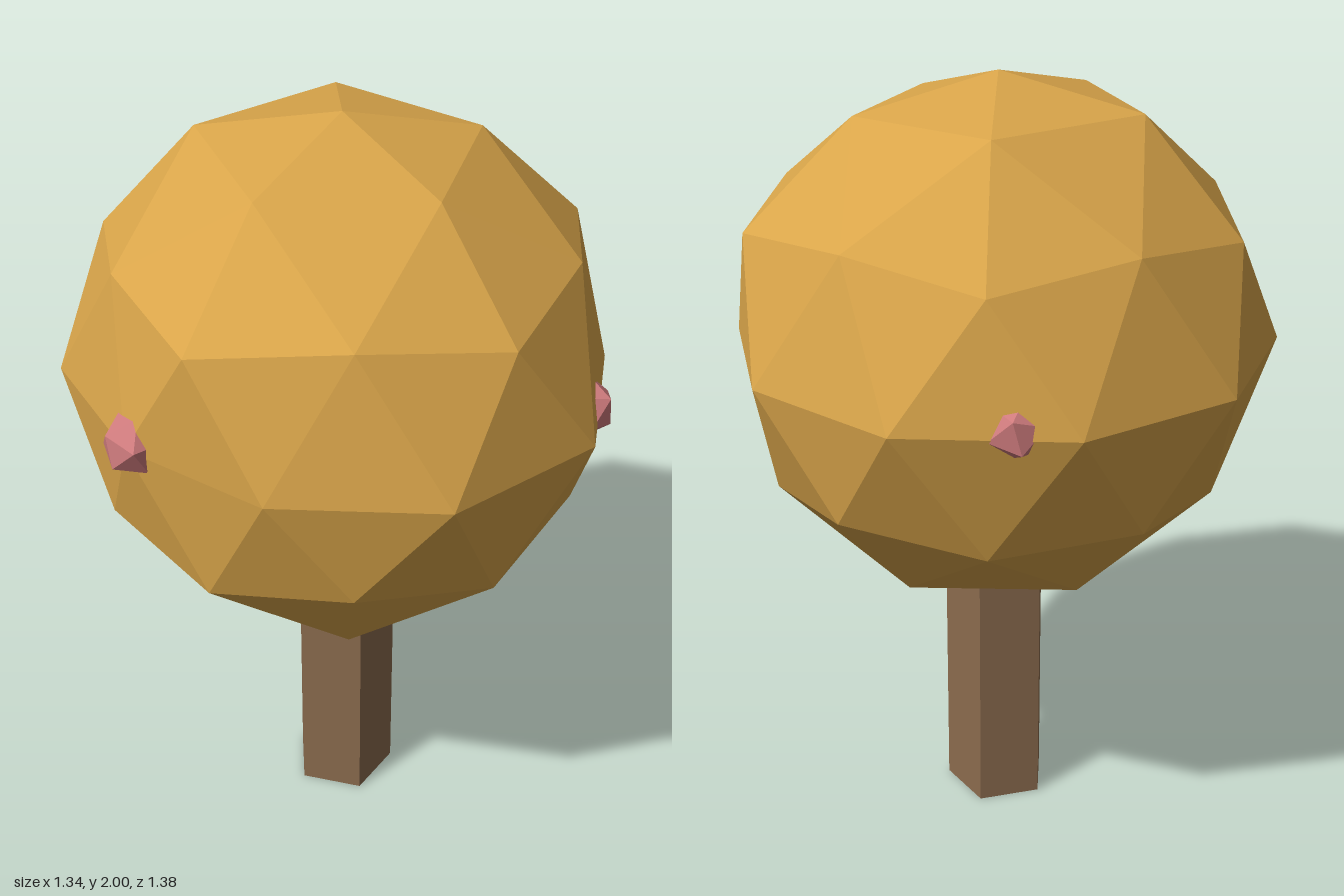
import * as THREE from 'three';

const CENTRE_Y = 1.333;

// Vertex radii of the crown per latitude ring (key = unit height * 10),
// listed by azimuth away from +x; the crown is nearly mirrored front to back.
const RADII = {
  10: [0.667],
  9: [0.667, 0.68, 0.695],
  5: [0.68, 0.669, 0.675],
  4: [0.69, 0.705, 0.689],
  0: [0.705, 0.662, 0.69, 0.702, 0.704],
  '-4': [0.667, 0.68, 0.69],
  '-5': [0.687, 0.68, 0.67],
  '-9': [0.7, 0.683, 0.68],
  '-10': [0.68],
};

function crownRadius(v) {
  const ring = Math.round(v.y * 10);
  if (Math.abs(ring) === 10) return RADII[ring][0];
  const azimuth = Math.abs(THREE.MathUtils.radToDeg(Math.atan2(v.z, v.x)));
  const i = Math.floor((azimuth + 1) / (ring === 0 ? 36 : 72));
  if (ring === 0 && i === 2 && v.z > 0) return 0.645; // dent behind the front bud
  return RADII[ring][i];
}

function material(color) {
  return new THREE.MeshStandardMaterial({ color, flatShading: true });
}

export function createModel() {
  const model = new THREE.Group();
  model.name = 'tree';

  // Five-sided trunk with one corner to the front
  const trunkGeo = new THREE.CylinderGeometry(0.14, 0.14, 0.72, 5);
  trunkGeo.translate(0, 0.36, 0);
  const trunk = new THREE.Mesh(trunkGeo, material(0x8b6b4e));
  trunk.name = 'trunk';
  model.add(trunk);

  // Faceted crown: subdivided icosahedron, a corner up, slightly uneven
  const crownGeo = new THREE.IcosahedronGeometry(1, 1);
  crownGeo.rotateX(-Math.atan((1 + Math.sqrt(5)) / 2));
  crownGeo.rotateY(Math.PI / 2);
  const pos = crownGeo.attributes.position;
  const v = new THREE.Vector3();
  for (let i = 0; i < pos.count; i++) {
    v.fromBufferAttribute(pos, i);
    v.multiplyScalar(crownRadius(v));
    pos.setXYZ(i, v.x, v.y + CENTRE_Y, v.z);
  }
  crownGeo.computeVertexNormals();
  const crown = new THREE.Mesh(crownGeo, material(0xd9a54a));
  crown.name = 'crown';
  model.add(crown);

  // Three small fruits around the crown's equator
  const fruitGeo = new THREE.IcosahedronGeometry(0.08, 0);
  const fruitMat = material(0xd07c7e);
  for (let i = 0; i < 3; i++) {
    const angle = (i * Math.PI * 2) / 3;
    const fruit = new THREE.Mesh(fruitGeo, fruitMat);
    fruit.name = 'fruit' + (i + 1);
    fruit.position.set(Math.sin(angle) * 0.62, 1.343, Math.cos(angle) * 0.62);
    fruit.rotation.set(0, angle, 0.25);
    model.add(fruit);
  }

  return model;
}
